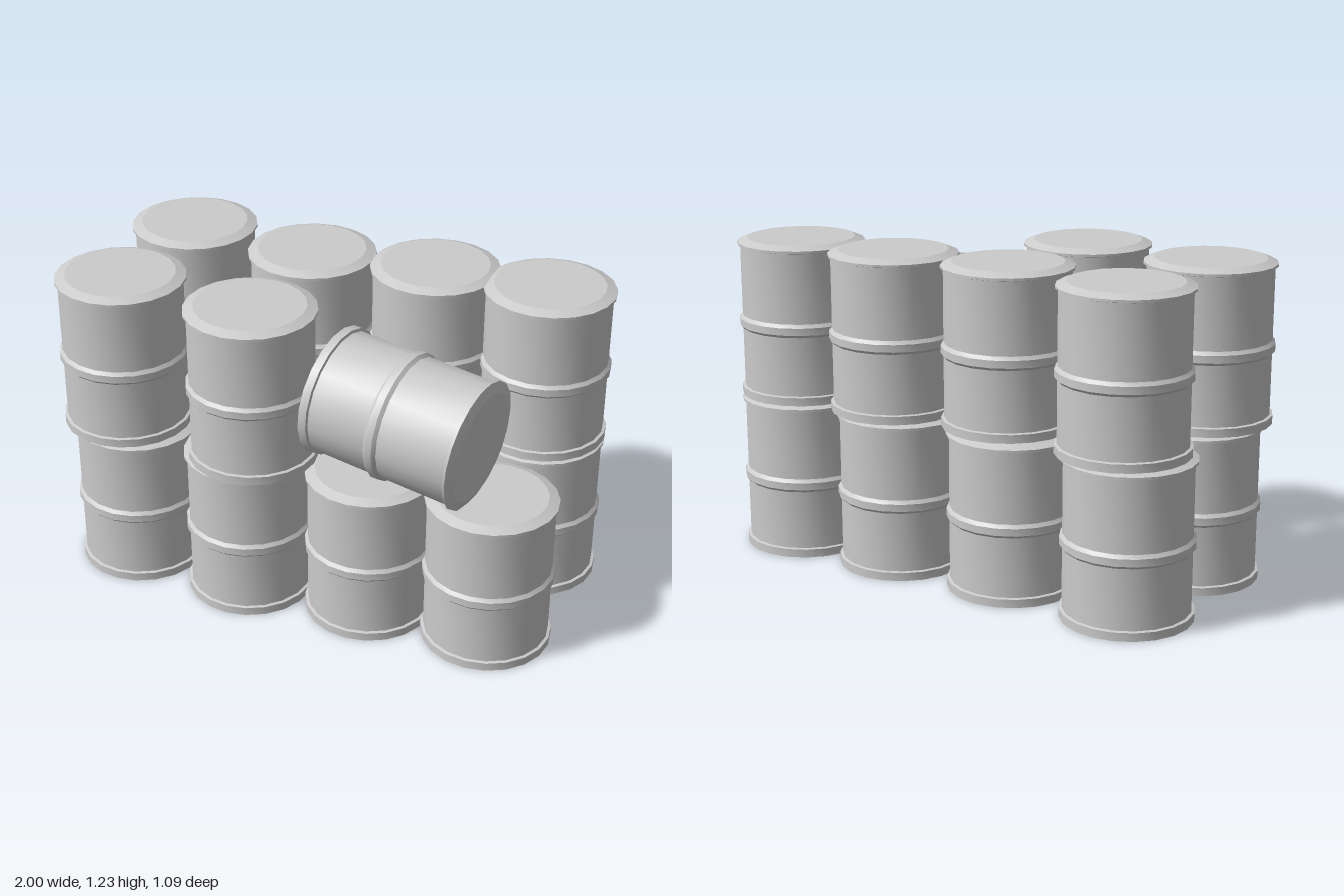
import * as THREE from 'three';
import { toCreasedNormals } from 'three/addons/utils/BufferGeometryUtils.js';

const HEIGHT = 0.614;

// Drum outline from base centre to lid centre: [radius, height]
const PROFILE = [
  [0, 0], [0.246, 0], [0.246, 0.032], [0.235, 0.035],
  [0.235, 0.265], [0.246, 0.276], [0.246, 0.304], [0.235, 0.317],
  [0.235, 0.587], [0.246, 0.590], [0.246, 0.599], [0.207, HEIGHT], [0, HEIGHT],
];

// Standing drums by layer: [x, z]
const LOWER = [
  [-0.72, -0.287], [-0.212, -0.257], [0.287, -0.268], [0.75, -0.274],
  [-0.728, 0.215], [-0.237, 0.26], [0.247, 0.237], [0.718, 0.24],
];
const UPPER = [
  [-0.702, -0.3], [-0.178, -0.237], [0.303, -0.28], [0.75, -0.272],
  [-0.757, 0.225], [-0.204, 0.285],
];

export function createModel() {
  const group = new THREE.Group();
  const material = new THREE.MeshStandardMaterial({ color: 0xcccccc });
  const points = PROFILE.map(([r, y]) => new THREE.Vector2(r, y));
  const geometry = toCreasedNormals(new THREE.LatheGeometry(points, 20), 0.36);

  function addDrum(name, x, y, z) {
    const drum = new THREE.Mesh(geometry, material);
    drum.name = name;
    drum.position.set(x, y, z);
    group.add(drum);
    return drum;
  }

  LOWER.forEach(([x, z], i) => addDrum(`lowerDrum${i + 1}`, x, 0, z));
  UPPER.forEach(([x, z], i) => addDrum(`upperDrum${i + 1}`, x, HEIGHT, z));

  // Toppled drum lying across the two uncovered front drums, lid towards +x
  const axis = new THREE.Vector3(0.98, -0.09, 0.17).normalize();
  const base = new THREE.Vector3(0.386, 0.866, 0.25).addScaledVector(axis, -HEIGHT / 2);
  const fallen = addDrum('fallenDrum', base.x, base.y, base.z);
  fallen.quaternion.setFromUnitVectors(new THREE.Vector3(0, 1, 0), axis);

  return group;
}
